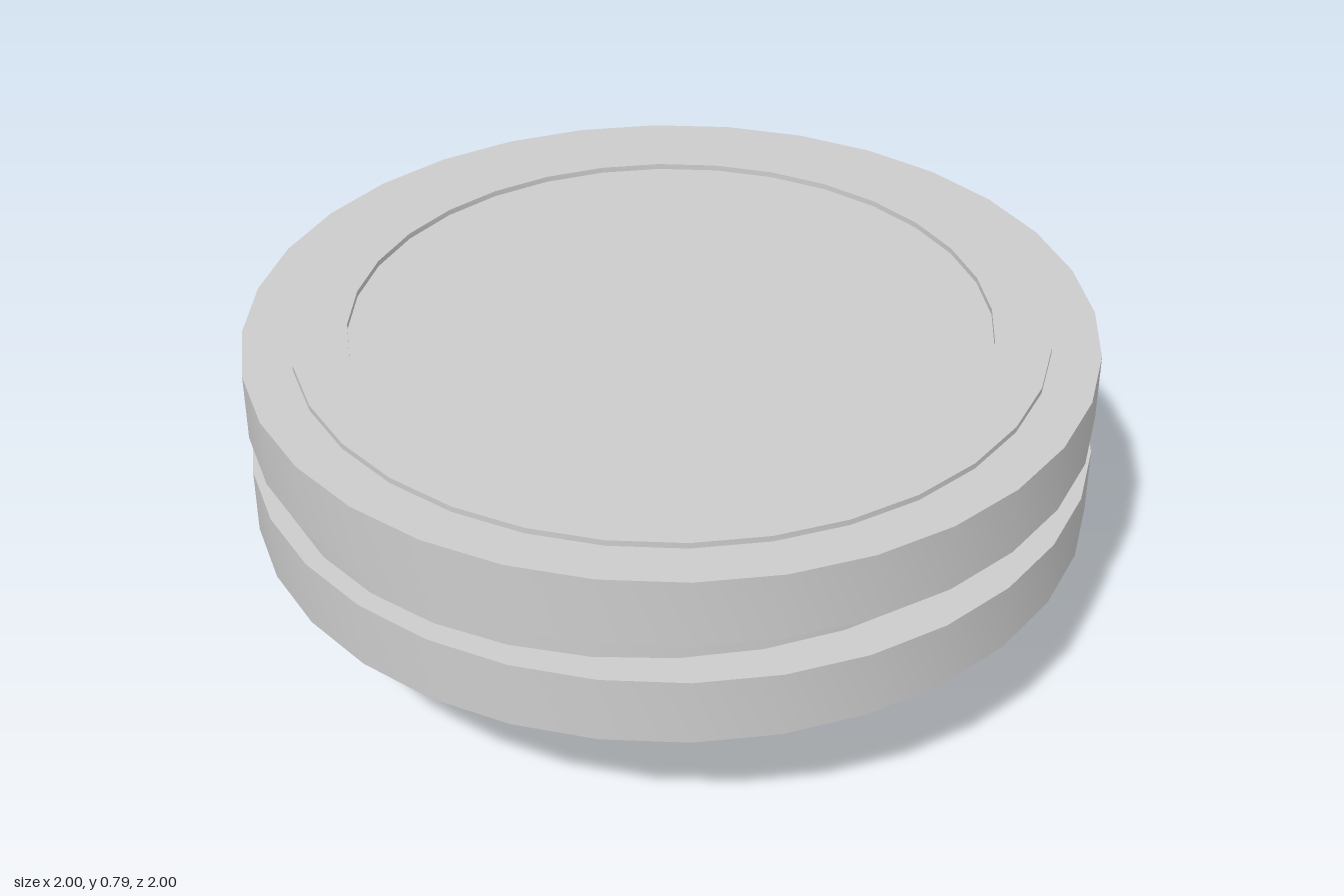
import * as THREE from 'three';
import { toCreasedNormals } from 'three/addons/utils/BufferGeometryUtils.js';

const SIDES = 32;
const material = new THREE.MeshStandardMaterial({ color: 0xcccccc });

// Turned part: [radius, height] points run up the outside of the section
function turned(name, points, sides = SIDES) {
  const profile = points.map(([r, y]) => new THREE.Vector2(r, y));
  const geometry = toCreasedNormals(new THREE.LatheGeometry(profile, sides), 0.6);
  const mesh = new THREE.Mesh(geometry, material);
  mesh.name = name;
  return mesh;
}

export function createModel() {
  const group = new THREE.Group();
  group.name = 'groovedWheel';

  // Lower rim disc, closed underneath
  group.add(turned('lowerDisc', [[0, 0.35], [1, 0.35], [1, 0.513], [0, 0.513]]));

  // Slightly oval core at the bottom of the groove
  const core = turned('grooveCore', [[1, 0.513], [1, 0.61]]);
  core.scale.set(0.955, 1, 0.9);
  group.add(core);

  // Upper rim disc with a thin raised ring around its flat face
  group.add(turned('upperDisc', [
    [0, 0.61], [1, 0.61], [1, 0.776], [0.885, 0.776],
    [0.885, 0.79], [0.755, 0.79], [0.755, 0.776], [0, 0.776],
  ]));

  // Ring flange below the discs
  group.add(turned('flange', [[0.623, 0.35], [0.623, 0.23], [0.757, 0.23], [0.757, 0.35]]));

  // Hollow hub with a collar, bored up to the disc
  group.add(turned('hub', [
    [0.27, 0.35], [0.27, 0], [0.36, 0], [0.36, 0.083], [0.382, 0.083],
    [0.382, 0.16], [0.36, 0.16], [0.36, 0.35],
  ]));

  return group;
}
